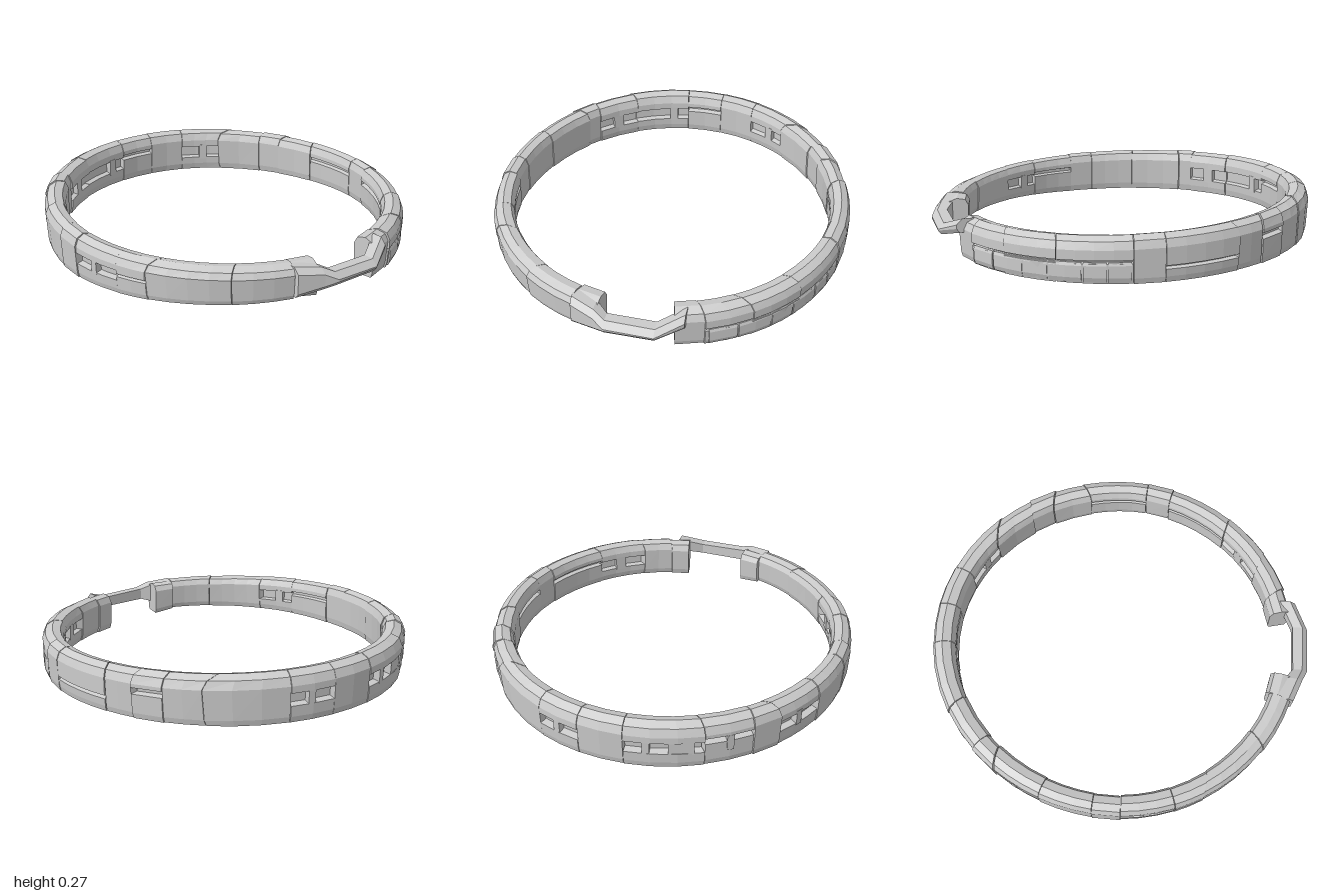
import * as THREE from 'three';
import { ConvexGeometry } from 'three/addons/geometries/ConvexGeometry.js';

const DEG = Math.PI / 180;
const material = new THREE.MeshStandardMaterial({ color: 0xcccccc, flatShading: true, side: THREE.DoubleSide });

// Angle runs from the front (+z) towards +x.
const outerRadius = a => 0.942 + 0.056 * Math.max(0, -Math.cos(a)) ** 2;
const thickness = a => 0.102 + 0.016 * Math.max(0, -Math.cos(a)) + 0.016 * Math.max(0, Math.cos(a));
const topY = z => 0.25 - 0.036 * z;
const bottomY = (x, z) => 0.026 - 0.018 * z + 0.05 * Math.max(0, z) * THREE.MathUtils.clamp(-x * 4, 0, 1);

// Cross-section: u runs from the inside to the outside, v from bottom to top.
// A notch is [v0, v1, depth].
function section(outNotch, inNotch) {
  const pts = [[0.12, 0], [0.88, 0], [0.94, 0.12]];
  if (outNotch) {
    const [v0, v1, d] = outNotch;
    pts.push([0.97, v0], [0.97 - d, v0 + 0.03], [0.99 - d, v1 - 0.02], [1, v1]);
  }
  pts.push([1, 0.74], [0.86, 0.91], [0.52, 1], [0.14, 0.95], [0, 0.78]);
  if (inNotch) {
    const [v0, v1, d] = inNotch;
    pts.push([0, v1], [d, v1 - 0.03], [d, v0 + 0.03], [0.03, v0]);
  }
  pts.push([0.05, 0.15]);
  return pts;
}

// Sweeps a section around the ring; the two ends may be slanted.
function ringBlock(name, pts, a0, a1, slant0 = 0, slant1 = 0, push = 0) {
  const steps = Math.max(1, Math.round((a1 - a0) / 6));
  const shape = new THREE.Shape(pts.map(p => new THREE.Vector2(p[0], p[1])));
  const geo = new THREE.ExtrudeGeometry(shape, { depth: 1, steps, bevelEnabled: false });
  const pos = geo.attributes.position;
  for (let i = 0; i < pos.count; i++) {
    const u = pos.getX(i), v = pos.getY(i), w = 1 - pos.getZ(i);
    const slant = THREE.MathUtils.lerp(slant0, slant1, w) * (u - 0.5);
    const a = (a0 + (a1 - a0) * w + slant) * DEG;
    const r = outerRadius(a) + push - thickness(a) * (1 - u);
    const x = r * Math.sin(a), z = r * Math.cos(a);
    const y0 = bottomY(x, z);
    pos.setXYZ(i, x, y0 + (topY(z) + push * 0.5 - y0) * v, z);
  }
  geo.computeVertexNormals();
  const mesh = new THREE.Mesh(geo, material);
  mesh.name = name;
  return mesh;
}

// Tapered link: convex pieces between stations [x, zInner, zOuter, y0, y1].
function bridge() {
  const group = new THREE.Group();
  group.name = 'frontBridge';
  const stations = [
    [-0.29, 0.82, 0.915, 0.065, 0.215],
    [-0.17, 0.87, 0.965, 0.09, 0.2],
    [-0.11, 0.915, 0.995, 0.108, 0.17],
    [0.13, 0.915, 0.998, 0.108, 0.165],
    [0.26, 0.84, 0.925, 0.145, 0.215],
  ];
  const corners = ([x, zi, zo, y0, y1]) => [
    [zi, y0], [zo - 0.015, y0], [zo, y0 + 0.02], [zo, y1 - 0.03], [zo - 0.03, y1], [zi, y1],
  ].map(([z, y]) => new THREE.Vector3(x, y, z));
  for (let i = 0; i < stations.length - 1; i++) {
    const geo = new ConvexGeometry([...corners(stations[i]), ...corners(stations[i + 1])]);
    const mesh = new THREE.Mesh(geo, material);
    mesh.name = 'bridgePiece';
    group.add(mesh);
  }
  return group;
}

export function createModel() {
  const model = new THREE.Group();
  model.name = 'segmentedRing';

  const low = [0.44, 0.52, 0.14], wide = [0.34, 0.6, 0.3], high = [0.52, 0.66, 0.26];
  const thin = [0.28, 0.36, 0.2], inWide = [0.32, 0.62, 0.26], inHigh = [0.55, 0.68, 0.24];

  // Segments: [start angle, slant at start, outer notch, inner notch, push]
  const segments = [
    [13, 0, null, null, -0.012],
    [21, 2, low, null, -0.004],
    [34, 5, low, inWide, 0],
    [52, 3, low, inHigh, -0.003],
    [75, 0, null, null, 0.002],
    [84, 0, thin, inHigh, 0],
    [106, 2, null, null, -0.004],
    [118, -4, high, null, 0.002],
    [127, -3, null, null, -0.004],
    [141, -9, null, inWide, 0],
    [160, 0, wide, null, 0.001],
    [173, 0, null, inHigh, 0],
    [186, 0, wide, inWide, 0.002],
    [207, 2, high, inWide, -0.002],
    [222, 0, null, null, 0.004],
    [229, 4, wide, null, -0.002],
    [247, 0, null, null, 0.002],
    [264, 0, null, null, 0.005],
    [273, 0, wide, inHigh, 0],
    [290, 0, low, inWide, 0.003],
    [302, -5, null, null, 0],
    [325, -2, null, null, 0.004],
    [342, 0, null, null, -0.014],
    [350, 0],
  ];
  for (let i = 0; i < segments.length - 1; i++) {
    const [a0, s0, outN, inN, push] = segments[i];
    const [a1, s1] = segments[i + 1];
    model.add(ringBlock('ringSegment', section(outN, inN), a0, a1 - 0.15, s0, s1, push));
  }

  // Lower cladding panels on the outside of the +x front quarter.
  const panel = [[0.8, 0.03], [0.93, 0.03], [1, 0.14], [1, 0.4], [0.95, 0.47], [0.8, 0.47]];
  for (const [a0, a1] of [[23, 31], [32, 42], [43, 50], [51, 60], [61, 67], [68, 74]])
    model.add(ringBlock('lowerPanel', panel, a0, a1, 0, 1, -0.003));

  // Narrow posts standing in the outer slots.
  const post = [[0.6, 0.3], [0.97, 0.3], [0.99, 0.66], [0.6, 0.66]];
  for (const [a0, a1] of [[165, 167], [191, 193], [198, 205], [214, 216], [237, 239], [280, 282]])
    model.add(ringBlock('outerPost', post, a0, a1));

  // Matching posts on the inside.
  const innerPost = [[0.01, 0.28], [0.4, 0.28], [0.4, 0.66], [-0.01, 0.66]];
  for (const [a0, a1] of [[40, 44], [150, 153], [190, 193], [212, 216], [294, 297]])
    model.add(ringBlock('innerPost', innerPost, a0, a1));

  model.add(bridge());
  return model;
}
